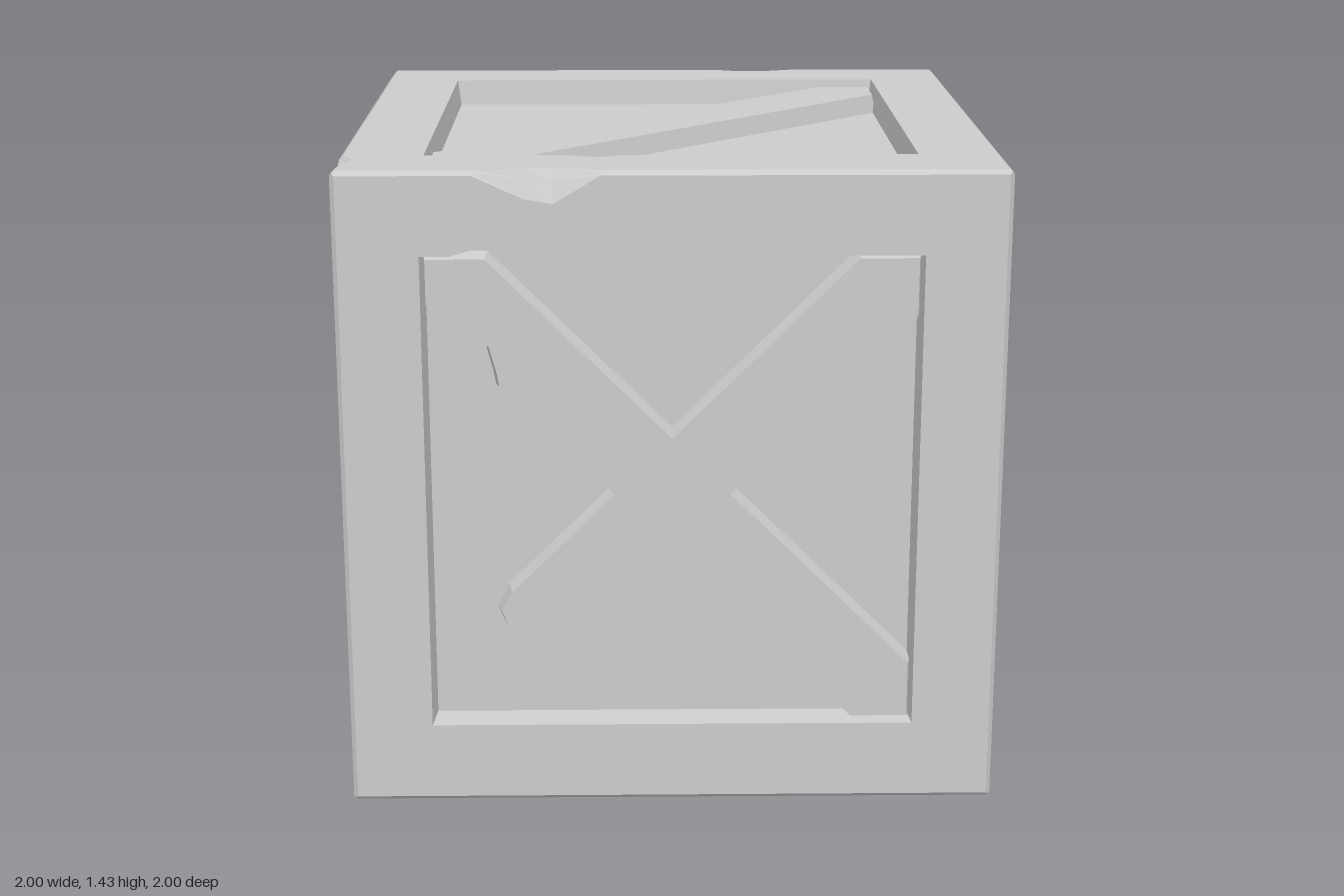
import * as THREE from 'three';

const H = 0.715;      // half size of the crate
const O = 0.533;      // half size of the framed opening
const PANEL = 0.062;  // depth of the sunken panel
const BAR = 0.018;    // depth of the brace tops
const K = 0.14;       // brace half width measured along an axis
const mat = new THREE.MeshStandardMaterial({ color: 0xcccccc, flatShading: true });

const mesh = (name, geo) => {
  const m = new THREE.Mesh(geo, mat);
  m.name = name;
  return m;
};
const shapeOf = (pts) => new THREE.Shape(pts.map(([x, y]) => new THREE.Vector2(x, y)));

// Closed band of quads between two loops of [x, y, z]
function band(a, b) {
  const pos = [];
  a.forEach((p, i) => {
    const j = (i + 1) % a.length;
    pos.push(...p, ...b[i], ...b[j], ...p, ...b[j], ...a[j]);
  });
  const g = new THREE.BufferGeometry();
  g.setAttribute('position', new THREE.Float32BufferAttribute(pos, 3));
  g.computeVertexNormals();
  return g;
}

// Walks a square counter-clockwise; notches are [side, t, ...values],
// point(t, values) gives [along, outward] for the side (0 bottom, 1 right, 2 top, 3 left)
function squareLoop(half, notches, point) {
  const loop = [];
  for (let s = 0; s < 4; s++) {
    const list = notches.filter((n) => n[0] === s).sort((p, q) => p[1] - q[1]);
    if (s > 1) list.reverse();
    const corner = [[-half, -half], [half, -half], [half, half], [-half, half]][s];
    loop.push(corner);
    for (const [, t, ...v] of list) {
      const d = point(v);
      loop.push([[t, -d], [d, t], [t, d], [-d, t]][s]);
    }
  }
  return loop;
}

// Frame of one face: flat ring, chamfered rim (with chips) and opening walls
function frame(chips, nicks) {
  const g = new THREE.Group();
  g.name = 'frame';
  const outer = squareLoop(H - 0.01, chips, (v) => H - v[0]);
  const rim = squareLoop(H - 0.005, chips, (v) => H - v[1]);
  const depths = squareLoop(0.005, chips, (v) => v[1]).map(([x, y], i) => {
    const [rx, ry] = rim[i];
    return Math.max(Math.abs(rx), Math.abs(ry)) - H;
  });
  const hole = squareLoop(O, nicks, (v) => O + v[0]);
  const ring = shapeOf(outer);
  ring.holes.push(new THREE.Path(hole.map(([x, y]) => new THREE.Vector2(x, y))));
  g.add(mesh('frameFront', new THREE.ShapeGeometry(ring)));
  g.add(mesh('frameChamfer', band(outer.map((p) => [...p, 0]), rim.map((p, i) => [...p, depths[i]]))));
  const wallFoot = hole.map(([x, y]) => [x * 0.985, y * 0.985, -PANEL]);
  g.add(mesh('openingWalls', band(wallFoot, hole.map((p) => [...p, 0]))));
  return g;
}

// Tapered flat brace standing on the panel
function brace(name, pts) {
  const t = PANEL - BAR;
  const g = new THREE.ExtrudeGeometry(shapeOf(pts), {
    depth: 0.002, bevelEnabled: true, bevelThickness: t, bevelSize: 0.01, bevelOffset: -0.01, bevelSegments: 1,
  });
  g.translate(0, 0, -PANEL - 0.002);
  return mesh(name, g);
}

// X outline; each arm end is written for the upper-right arm and turned into place
const wholeArm = [[O, O - K], [O, O], [O - K, O]];
function crossPoints(broken = {}) {
  const pts = [];
  for (let q = 0; q < 4; q++) {
    const c = [1, 0, -1, 0][q], s = [0, 1, 0, -1][q];
    for (const [x, y] of [[K, 0], ...(broken[q] || wholeArm)]) pts.push([x * c - y * s, x * s + y * c]);
  }
  return pts;
}

const diagonal = [[-O, O], [-O, O - K], [O - K, -O], [O, -O], [O, K - O], [K - O, O]];

// Snapped arm ends
const frontBreak = { 0: [[0.405, 0.265], [0.45, 0.31], [0.425, 0.345], [0.4, 0.39], [0.3, 0.41], [0.25, 0.39]] };
const sideBreak = {
  1: [[O, O - K], [O, O], [0.42, O], [0.37, 0.47], [0.335, 0.44], [0.325, 0.4], [0.27, 0.385], [0.24, 0.38]],
  2: [[0.36, 0.22], [0.385, 0.27], [0.37, 0.31], [0.27, 0.3], [0.22, 0.345], [0.17, 0.31]],
};

// Edge chips as [position, inset on the top, inset on the side, depth at the edge]
const chipSets = {
  left: [[-0.33, 0.01, 0.01, 0.005], [-0.26, 0.035, 0.05, 0.028], [-0.2, 0.035, 0.045, 0.025], [-0.14, 0.01, 0.01, 0.005]],
  right: [[-0.42, 0.01, 0.01, 0.005], [-0.31, 0.03, 0.06, 0.02], [-0.25, 0.045, 0.07, 0.025], [-0.15, 0.01, 0.01, 0.005]],
  front: [[0.53, 0.01, 0.01, 0.005], [0.58, 0.035, 0.03, 0.018], [0.63, 0.02, 0.02, 0.012], [0.67, 0.01, 0.01, 0.005]],
};
const sideChips = (k) => chipSets[k].map(([t, , side, e]) => [2, t, side, e]);
const topChips = [
  ...chipSets.front.map(([t, top, , e]) => [0, t, top, e]),
  ...chipSets.right.map(([t, top, , e]) => [1, t, top, e]),
  ...chipSets.left.map(([t, top, , e]) => [3, -t, top, e]),
];

export function createModel() {
  const crate = new THREE.Group();
  crate.name = 'crate';
  const q = Math.PI / 2;
  const faces = [
    { name: 'frontSide', rot: [0, 0], chips: sideChips('front'), bars: crossPoints(frontBreak) },
    { name: 'rightSide', rot: [0, q], chips: sideChips('right'), bars: crossPoints(sideBreak),
      nicks: [[2, -0.47, 0], [2, -0.43, 0.012], [2, -0.38, 0.034], [2, -0.32, 0.008], [2, -0.25, 0]] },
    { name: 'backSide', rot: [0, 2 * q], bars: crossPoints() },
    { name: 'leftSide', rot: [0, -q], chips: sideChips('left'), bars: crossPoints() },
    { name: 'topSide', rot: [-q, 0], chips: topChips, bars: diagonal,
      nicks: [[1, -0.24, 0], [1, -0.2, 0.008], [1, -0.16, 0.025], [1, -0.1, 0]] },
    { name: 'bottomSide', rot: [q, 0] },
  ];
  for (const f of faces) {
    const side = new THREE.Group();
    side.name = f.name;
    const inner = new THREE.Group();
    inner.position.z = H;
    inner.add(frame(f.chips || [], f.nicks || []));
    const panel = mesh('panel', new THREE.PlaneGeometry(2 * O + 0.06, 2 * O + 0.06));
    panel.position.z = -PANEL;
    inner.add(panel);
    if (f.bars) inner.add(brace('brace', f.bars));
    side.add(inner);
    side.rotation.set(f.rot[0], f.rot[1], 0);
    crate.add(side);
  }
  // The crate stands turned on the ground
  crate.rotation.y = -0.666;
  crate.position.y = H;
  const model = new THREE.Group();
  model.add(crate);
  return model;
}
